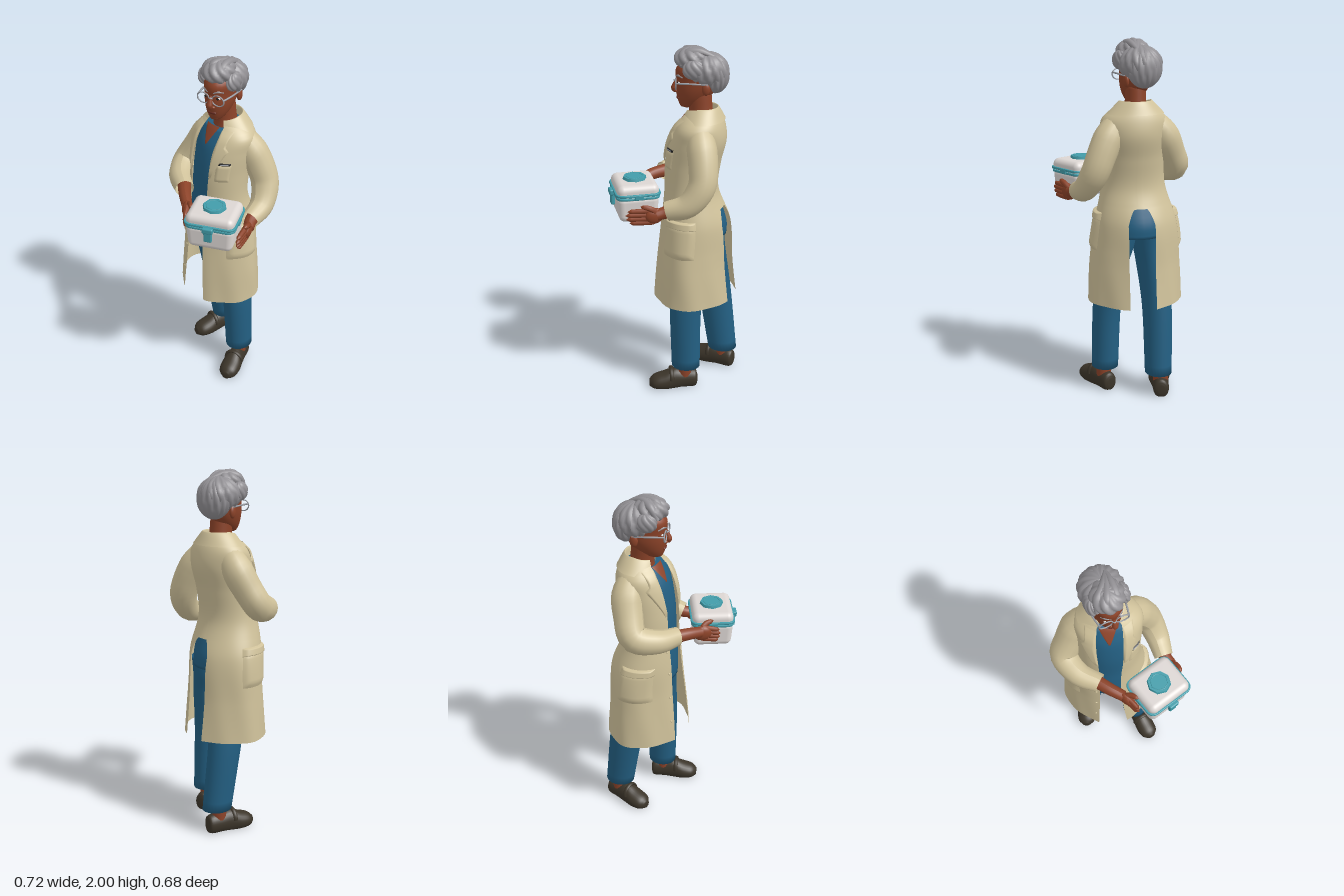
import * as THREE from 'three';
import { mergeVertices } from 'three/addons/utils/BufferGeometryUtils.js';
import { RoundedBoxGeometry } from 'three/addons/geometries/RoundedBoxGeometry.js';

const material = (name, color, side = THREE.DoubleSide) => {
  const m = new THREE.MeshStandardMaterial({ color, side });
  m.name = name;
  return m;
};
const M = {
  coat: material('cream cloth', 0xd0c29b), blue: material('blue cloth', 0x235f82),
  skin: material('brown skin', 0x8c4329), lip: material('dark lip', 0x6b2d20),
  hair: material('grey hair', 0x929094), shoe: material('dark leather', 0x3c352a),
  white: material('white plastic', 0xdcd6d3), teal: material('teal plastic', 0x429daa),
  dark: material('black', 0x232323), silver: material('silver', 0x9a9da4),
};
const V = (a) => new THREE.Vector3(...a);
const add = (parent, name, geo, mat, pos = [0, 0, 0]) => {
  const mesh = new THREE.Mesh(geo, mat);
  mesh.name = name;
  mesh.position.set(...pos);
  parent.add(mesh);
  return mesh;
};
const spline = (rows) => {
  const n = rows[0].length - 1;
  const it = new THREE.CubicInterpolant(new Float32Array(rows.map((r) => r[0])),
    new Float32Array(rows.flatMap((r) => r.slice(1))), n, new Float32Array(n));
  return (t) => Array.from(it.evaluate(t));
};

// Surface from a rule point(u, v), with optional gaps
function sheet(nu, nv, point, skip = () => false) {
  const pos = [], idx = [], w = nu + 1;
  for (let i = 0; i <= nv; i++) for (let j = 0; j <= nu; j++) pos.push(...point(j / nu, i / nv));
  for (let i = 0; i < nv; i++) for (let j = 0; j < nu; j++) {
    if (skip((j + 0.5) / nu, (i + 0.5) / nv)) continue;
    const a = i * w + j, c = a + w;
    idx.push(a, a + 1, c, a + 1, c + 1, c);
  }
  const g = new THREE.BufferGeometry();
  g.setAttribute('position', new THREE.Float32BufferAttribute(pos, 3));
  g.setIndex(idx);
  const m = mergeVertices(g, 1e-5);
  m.computeVertexNormals();
  return m;
}
// Closed loft through ellipses [x, y, z, rx, rz], bottom to top
function loft(rings, nu = 28, nv = 28) {
  const at = spline(rings.map((r, i) => [i, ...r]));
  return sheet(nu, nv + 2, (u, v) => {
    const k = v * (nv + 2) - 1, end = k < 0 || k > nv;
    const [x, y, z, rx, rz] = at(THREE.MathUtils.clamp(k / nv, 0, 1) * (rings.length - 1));
    const s = end ? 0 : 1, p = (u % 1) * Math.PI * 2;
    return [x + s * rx * Math.sin(p), y, z + s * rz * Math.cos(p)];
  });
}
// Tube whose radius changes along its path
function limb(points, radii, n = 24, m = 16) {
  const curve = new THREE.CatmullRomCurve3(points.map(V));
  const g = new THREE.TubeGeometry(curve, n, 1, m), p = g.attributes.position, q = new THREE.Vector3();
  for (let i = 0; i <= n; i++) {
    const c = curve.getPointAt(i / n), t = (i / n) * (radii.length - 1), k = Math.min(Math.floor(t), radii.length - 2);
    const r = THREE.MathUtils.lerp(radii[k], radii[k + 1], t - k);
    for (let j = 0; j <= m; j++) {
      const id = i * (m + 1) + j;
      q.fromBufferAttribute(p, id).sub(c).multiplyScalar(r).add(c);
      p.setXYZ(id, q.x, q.y, q.z);
    }
  }
  g.computeVertexNormals();
  return g;
}
// Ellipsoid with optional swirling locks
function blob(radii, locks = 0, depth = 0, twist = 0) {
  const g = new THREE.SphereGeometry(1, 48, 28), p = g.attributes.position, d = new THREE.Vector3();
  for (let i = 0; i < p.count; i++) {
    d.fromBufferAttribute(p, i);
    const ring = Math.sqrt(Math.max(0, 1 - d.y * d.y));
    const wave = Math.abs(Math.sin((locks * Math.atan2(d.x, d.z)) / 2 + twist * d.y));
    d.multiplyScalar(1 - depth * ring * (1 - wave)).multiply(V(radii));
    p.setXYZ(i, d.x, d.y, d.z);
  }
  g.computeVertexNormals();
  return g;
}

// Coat sections: y, centre x, half width, centre z, half depth, opening right x, opening left x
const coatAt = spline([
  [0.54, -0.044, 0.267, -0.105, 0.238, -0.135, 0.04], [0.75, -0.043, 0.257, -0.103, 0.217, -0.125, 0.02],
  [1.0, -0.048, 0.23, -0.105, 0.195, -0.115, 0.005], [1.2, -0.04, 0.18, -0.08, 0.15, -0.11, 0.01],
  [1.36, -0.035, 0.175, -0.09, 0.155, -0.112, 0.02], [1.5, -0.03, 0.182, -0.118, 0.157, -0.115, 0.025],
  [1.58, -0.03, 0.178, -0.132, 0.132, -0.11, 0.03], [1.625, -0.033, 0.135, -0.138, 0.108, -0.1, 0.03],
  [1.655, -0.035, 0.095, -0.142, 0.085, -0.095, 0.025]]);
// The skirt is a little diamond-shaped and follows the stepping legs
const coatPoint = (phi, y, off = 0) => {
  const [cx, a, cz, b] = coatAt(y), skirt = THREE.MathUtils.smoothstep(1.15 - y, 0, 0.3);
  const fold = 0.004 * Math.sin(phi * 9 + y * 7) * Math.max(0, 1.1 - y);
  const k = 1 - 0.06 * skirt * Math.sin(2 * phi) ** 2;
  const x = (a + off + fold) * k * Math.sin(phi);
  return [cx + x, y, cz + (b + off + fold) * k * Math.cos(phi) + 0.06 * skirt * x];
};
const frontAngle = (x, y) => { const c = coatAt(y); return Math.asin(THREE.MathUtils.clamp((x - c[0]) / c[1], -1, 1)); };
// Raised panel that follows the coat, between two edge angles
const patch = (y0, y1, f0, f1, lift, base = 0.002) => sheet(14, 14, (u, v) => {
  const y = y0 + (y1 - y0) * v, edge = Math.min(u, 1 - u, v, 1 - v);
  return coatPoint(THREE.MathUtils.lerp(f0(y), f1(y), u), y, base + lift * Math.min(1, edge * 8));
});

function buildCoat(g) {
  const lo = 0.54, hi = 1.655, seg = [0, 0.45, 0.55, 1];
  // Main shell, open at the front and with an arched back vent
  add(g, 'coat', sheet(80, 64, (u, v) => {
    const y = lo + (hi - lo) * v, c = coatAt(y);
    const half = 0.015 + 0.06 * Math.sqrt(THREE.MathUtils.clamp((1.11 - y) / 0.1, 0, 1));
    const stops = [frontAngle(c[5], y), Math.PI - frontAngle(half - 0.035, y), Math.PI - frontAngle(-half - 0.035, y),
      2 * Math.PI + frontAngle(c[4], y)];
    const k = u < seg[1] ? 0 : u < seg[2] ? 1 : 2;
    return coatPoint(THREE.MathUtils.lerp(stops[k], stops[k + 1], (u - seg[k]) / (seg[k + 1] - seg[k])), y);
  }, (u, v) => u > 0.45 && u < 0.55 && lo + (hi - lo) * v < 1.1), M.coat);
  // Folded collar
  const fold = spline([[0, 1.63, 0.08, 0.075], [1, 1.675, 0.084, 0.082], [2, 1.668, 0.1, 0.094], [3, 1.608, 0.158, 0.124]]);
  add(g, 'collar', sheet(48, 14, (u, v) => {
    const [y, a, b] = fold(v * 3), p = 0.55 + u * (2 * Math.PI - 1.1);
    return [-0.035 + a * Math.sin(p), y - 0.02 * Math.max(0, Math.cos(p)), -0.14 + b * Math.cos(p)];
  }), M.coat);
  for (const s of [1, -1]) {
    const side = s > 0 ? 'left' : 'right';
    const edge = (y) => coatAt(y)[s > 0 ? 5 : 4];
    const flare = (y) => edge(y) + s * (y < 1.54 ? 0.012 + (y - 1.36) * 0.36 : 0.055);
    add(g, side + 'Lapel', patch(1.36, 1.62, (y) => frontAngle(edge(y), y), (y) => frontAngle(flare(y), y), 0.009, 0.004), M.coat);
    add(g, side + 'HipPocket', patch(0.85, 1.05, () => s * 0.87, () => s * 1.88, 0.012), M.coat);
    add(g, side + 'PocketBand', patch(1.02, 1.065, () => s * 0.85, () => s * 1.9, 0.018), M.coat);
  }
  add(g, 'breastPocket', patch(1.345, 1.45, () => 0.52, () => 1.0, 0.007), M.coat);
  add(g, 'pocketPens', patch(1.446, 1.46, () => 0.54, () => 0.96, 0.006), M.dark);
  add(g, 'penClip', patch(1.45, 1.456, () => 0.6, () => 0.9, 0.004, 0.006), M.silver);
  for (const y of [0.68, 0.84, 1.0, 1.14])
    add(g, 'button', blob([0.007, 0.007, 0.004]), M.coat, coatPoint(frontAngle(coatAt(y)[4] - 0.02, y), y, 0.002));
  // Sleeves
  add(g, 'rightSleeve', limb([[-0.12, 1.565, -0.145], [-0.185, 1.495, -0.15], [-0.24, 1.39, -0.12], [-0.282, 1.29, -0.07],
    [-0.225, 1.258, 0.035], [-0.115, 1.25, 0.11]], [0.07, 0.086, 0.08, 0.078, 0.066, 0.052]), M.coat);
  add(g, 'leftSleeve', limb([[0.06, 1.565, -0.145], [0.122, 1.485, -0.175], [0.165, 1.4, -0.195], [0.205, 1.3, -0.198],
    [0.245, 1.2, -0.13], [0.263, 1.165, -0.02]], [0.07, 0.083, 0.08, 0.076, 0.066, 0.053]), M.coat);
}

function buildClothes(g) {
  // Scrub top inside the coat
  const rings = [0.93, 1.0, 1.1, 1.2, 1.36, 1.5, 1.57, 1.61].map((y) => {
    const [x, a, z, b] = coatAt(y);
    return [x, y, z, Math.min(a - 0.02, 0.18), Math.min(b - 0.016, 0.175)];
  });
  add(g, 'scrubTop', loft(rings), M.blue);
  const v = (s) => (y) => frontAngle(-0.045 + s * (0.004 + (y - 1.53) * 0.5), y);
  add(g, 'neckline', patch(1.53, 1.625, v(-1), v(1), 0.002, -0.011), M.skin);
  // Trousers
  const legs = {
    left: [[0.13, 0.135, -0.095, 0.076, 0.083], [0.115, 0.5, -0.088, 0.08, 0.092], [0.082, 0.75, -0.1, 0.085, 0.115],
      [0.056, 0.86, -0.105, 0.089, 0.13], [0.046, 0.97, -0.11, 0.1, 0.14]],
    right: [[-0.145, 0.13, -0.255, 0.076, 0.086], [-0.15, 0.5, -0.2, 0.083, 0.1], [-0.13, 0.75, -0.15, 0.085, 0.12],
      [-0.118, 0.86, -0.13, 0.09, 0.13], [-0.113, 0.97, -0.12, 0.1, 0.14]],
  };
  for (const side in legs) add(g, side + 'TrouserLeg', loft(legs[side]), M.blue);
  // Shoes: sections along the foot, flattened on the ground
  for (const [side, x, z, yaw] of [['left', 0.16, -0.03, 0.36], ['right', -0.174, -0.19, -0.22]]) {
    const foot = new THREE.Group();
    foot.name = side + 'Foot';
    const shoe = loft([[0, -0.14, -0.045, 0.02, 0.025], [0, -0.125, -0.045, 0.043, 0.055], [0, -0.06, -0.045, 0.047, 0.06],
      [0, 0, -0.045, 0.052, 0.07], [0, 0.06, -0.035, 0.06, 0.056], [0, 0.115, -0.03, 0.052, 0.042],
      [0, 0.145, -0.025, 0.022, 0.022]]).rotateX(Math.PI / 2);
    const p = shoe.attributes.position;
    for (let i = 0; i < p.count; i++) p.setY(i, Math.max(0, p.getY(i)));
    shoe.computeVertexNormals();
    add(foot, 'shoe', shoe, M.shoe);
    const strap = add(foot, 'strap', new THREE.TorusGeometry(0.053, 0.008, 8, 24, Math.PI), M.shoe, [0, 0.06, 0.015]);
    strap.scale.set(1, 1.05, 1.6);
    add(foot, 'ankle', new THREE.CylinderGeometry(0.042, 0.042, 0.12, 20), M.skin, [0, 0.12, -0.065]);
    foot.position.set(x, 0, z);
    foot.rotation.y = yaw;
    g.add(foot);
  }
}

function buildHands(g) {
  // wrist path, palm, knuckle and tip of the fingers, thumb path
  const hands = [
    ['right', [[-0.15, 1.25, 0.08], [-0.07, 1.247, 0.15], [0.0, 1.235, 0.2]], [0.005, 1.226, 0.208],
      [0.03, 1.216, 0.232], [0.072, 1.198, 0.29], [[0, 1.245, 0.205], [0.035, 1.268, 0.212], [0.075, 1.28, 0.245]]],
    ['left', [[0.258, 1.17, -0.06], [0.275, 1.16, -0.01], [0.3, 1.15, 0.03]], [0.3, 1.147, 0.038],
      [0.315, 1.144, 0.075], [0.358, 1.142, 0.185], [[0.3, 1.17, 0.03], [0.322, 1.195, 0.06], [0.338, 1.207, 0.105]]]];
  for (const [side, wrist, palm, a, b, thumb] of hands) {
    const hand = new THREE.Group();
    hand.name = side + 'Hand';
    add(hand, 'forearm', limb(wrist, [0.038, 0.034, 0.03]), M.skin);
    add(hand, 'palm', blob([0.024, 0.044, 0.052]), M.skin, palm).rotation.y = 0.6;
    for (let i = 0; i < 4; i++) {
      const y = (1.5 - i) * 0.022, reach = [0.9, 1, 0.97, 0.82][i];
      const tip = V(a).lerp(V(b), reach).toArray(), mid = V(a).lerp(V(b), 0.5).toArray();
      add(hand, 'finger', limb([palm, a, mid, tip].map((q) => [q[0], q[1] + y, q[2]]),
        [0.014, 0.016, 0.0155, 0.015, 0.0145, 0.014, 0.013, 0.012, 0], 16, 10), M.skin);
    }
    add(hand, 'thumb', limb(thumb, [0.018, 0.017, 0.016, 0.015, 0.014, 0.012, 0], 18, 10), M.skin);
    g.add(hand);
  }
}

function buildBox(g) {
  const box = new THREE.Group();
  box.name = 'carryBox';
  const body = new RoundedBoxGeometry(0.27, 0.15, 0.23, 5, 0.035), p = body.attributes.position;
  for (let i = 0; i < p.count; i++) {
    const k = 0.95 + p.getY(i) * 0.6;
    p.setX(i, p.getX(i) * k);
    p.setZ(i, p.getZ(i) * k);
  }
  add(box, 'boxBody', body, M.white, [0, -0.025, 0]);
  add(box, 'lid', new RoundedBoxGeometry(0.268, 0.1, 0.228, 5, 0.035), M.white, [0, 0.06, 0]);
  // Rounded rims where lid and body meet
  const rim = (w, d, r) => new THREE.Shape().moveTo(-w + r, -d).lineTo(w - r, -d).quadraticCurveTo(w, -d, w, -d + r)
    .lineTo(w, d - r).quadraticCurveTo(w, d, w - r, d).lineTo(-w + r, d).quadraticCurveTo(-w, d, -w, d - r)
    .lineTo(-w, -d + r).quadraticCurveTo(-w, -d, -w + r, -d);
  for (const [name, y, s] of [['lidRim', 0.054, 0], ['bodyRim', 0.036, 0.004]])
    add(box, name, new THREE.ExtrudeGeometry(rim(0.14 - s, 0.12 - s, 0.045), { depth: 0.008, bevelSize: 0.004,
      bevelThickness: 0.003, bevelSegments: 2, curveSegments: 8 }).rotateX(-Math.PI / 2), M.teal, [0, y, 0]);
  add(box, 'lidKnob', new THREE.CylinderGeometry(0.062, 0.069, 0.025, 8), M.teal, [0, 0.112, 0]);
  add(box, 'knobRing', new THREE.TorusGeometry(0.047, 0.003, 6, 8).rotateX(Math.PI / 2), M.teal, [0, 0.124, 0]);
  add(box, 'latch', new RoundedBoxGeometry(0.046, 0.08, 0.022, 3, 0.008), M.teal, [0, 0.012, 0.124]);
  add(box, 'latchHook', new RoundedBoxGeometry(0.06, 0.032, 0.034, 3, 0.008), M.teal, [0, 0.046, 0.126]);
  for (const s of [1, -1]) add(box, 'sideClip', new RoundedBoxGeometry(0.014, 0.03, 0.05, 3, 0.006), M.teal, [s * 0.138, 0.048, 0]);
  box.position.set(0.193, 1.2, 0.182);
  box.rotation.y = 0.49;
  g.add(box);
}

function buildHead(g) {
  add(g, 'neck', loft([[-0.035, 1.56, -0.14, 0.085, 0.085], [-0.038, 1.64, -0.132, 0.06, 0.066], [-0.04, 1.75, -0.12, 0.056, 0.066]]), M.skin);
  const head = new THREE.Group();
  head.name = 'head';
  add(head, 'face', loft([[0, -0.122, 0.06, 0.018, 0.02], [0, -0.112, 0.052, 0.036, 0.045], [0, -0.075, 0.03, 0.06, 0.082],
    [0, -0.025, 0.012, 0.076, 0.108], [0, 0.03, 0, 0.081, 0.12], [0, 0.09, 0, 0.082, 0.12], [0, 0.15, -0.01, 0.05, 0.08]]), M.skin);
  // Nose, mouth and chin
  add(head, 'nose', limb([[0, 0.035, 0.112], [0, 0.0, 0.126], [0, -0.026, 0.13], [0, -0.034, 0.115]], [0.008, 0.012, 0.017, 0.008]), M.skin);
  add(head, 'chin', blob([0.028, 0.018, 0.02]), M.skin, [0, -0.104, 0.08]);
  add(head, 'lips', blob([0.028, 0.009, 0.01]), M.lip, [0, -0.067, 0.108]);
  for (const s of [1, -1]) {
    add(head, 'nostril', blob([0.011, 0.009, 0.012]), M.skin, [s * 0.014, -0.031, 0.115]);
    add(head, 'ear', blob([0.014, 0.034, 0.022]), M.skin, [s * 0.084, -0.005, -0.04]);
    add(head, 'eye', blob([0.014, 0.006, 0.008]), M.white, [s * 0.036, 0.02, 0.103]);
    add(head, 'pupil', blob([0.008, 0.007, 0.004]), M.dark, [s * 0.036, 0.02, 0.1095]);
    add(head, 'eyebrow', limb([[s * 0.015, 0.052, 0.118], [s * 0.038, 0.06, 0.109], [s * 0.06, 0.05, 0.084]], [0.004, 0.006, 0.003], 10, 8), M.hair);
    // Spectacles
    add(head, 'lensFrame', new THREE.TorusGeometry(0.036, 0.0038, 8, 28), M.silver, [s * 0.044, 0.015, 0.12]).scale.y = 0.82;
    add(head, 'templeArm', limb([[s * 0.078, 0.025, 0.12], [s * 0.09, 0.026, 0.05], [s * 0.09, 0.02, -0.05]], [0.005, 0.005, 0.004], 10, 8), M.silver);
    add(head, 'sideCurl', blob([0.036, 0.052, 0.062], 8, 0.12, 3), M.hair, [s * 0.085, 0.1, 0.025]);
  }
  add(head, 'bridge', limb([[-0.011, 0.022, 0.12], [0, 0.026, 0.131], [0.011, 0.022, 0.12]], [0.004, 0.004], 6, 8), M.silver);
  // Swept-up hair
  add(head, 'hairCap', blob([0.122, 0.098, 0.12], 14, 0.12, 2), M.hair, [0, 0.083, -0.045]);
  add(head, 'hairNape', blob([0.1, 0.105, 0.078], 14, 0.14, 1.2), M.hair, [0, 0.06, -0.092]);
  add(head, 'hairCrest', blob([0.092, 0.064, 0.1], 9, 0.14, 2.5), M.hair, [0, 0.145, 0.035]);
  for (const [a, b, c] of [[-0.075, 0.17, 0.08], [-0.02, 0.183, 0.1], [0.045, 0.176, 0.09]])
    add(head, 'hairLock', limb([[a, 0.115, c + 0.005], [a * 0.8, b, c - 0.03], [a * 0.4 + 0.02, 0.187, 0], [0.04, 0.16, -0.08]],
      [0.012, 0.024, 0.02, 0.012]), M.hair);
  head.position.set(-0.046, 1.79, -0.112);
  head.rotation.y = 0.25;
  g.add(head);
}

export function createModel() {
  const g = new THREE.Group();
  g.name = 'coatedWomanWithBox';
  [buildCoat, buildClothes, buildHands, buildBox, buildHead].forEach((build) => build(g));
  return g;
}
